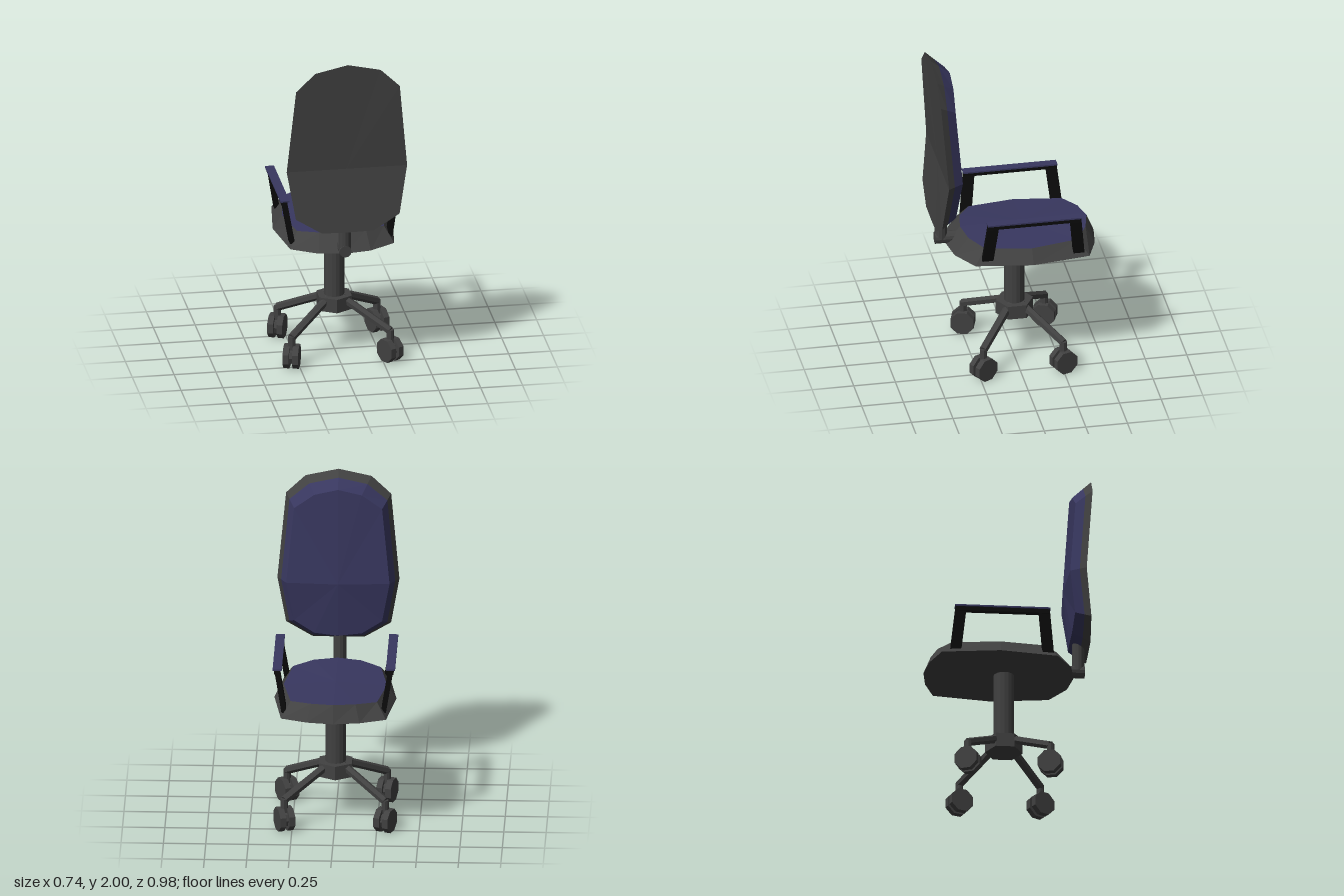
import * as THREE from 'three';

const V = (x, y, z) => new THREE.Vector3(x, y, z);

export function createModel() {
  const chair = new THREE.Group();
  chair.name = 'officeChair';
  const mat = (name, color, opts = {}) => {
    const m = new THREE.MeshStandardMaterial({ color, ...opts });
    m.name = name;
    return m;
  };
  const grey = mat('charcoal plastic', 0x414141, { flatShading: true });
  const blue = mat('indigo fabric', 0x38375f, { flatShading: true });
  const black = mat('black armrest', 0x0b0b0b, { flatShading: true });

  const add = (name, geo, material, parent = chair) => {
    const m = new THREE.Mesh(geo, material);
    m.name = name;
    parent.add(m);
    return m;
  };
  const surface = (points) => {
    const g = new THREE.BufferGeometry().setFromPoints(points);
    g.computeVertexNormals();
    return g;
  };
  // Triangle fan closing a ring
  const fan = (c, ring, flip = false) => surface(ring.flatMap((p, i) => {
    const q = ring[(i + 1) % ring.length];
    return flip ? [c, q, p] : [c, p, q];
  }));
  // Band of quads joining two rings
  const band = (a, b) => surface(a.flatMap((p, i) => {
    const j = (i + 1) % a.length;
    return [p, a[j], b[j], p, b[j], b[i]];
  }));
  // Mirrors a half outline (first and last points on the centre line)
  const mirrored = (half) => [
    ...half,
    ...half.slice(1, -1).reverse().map((p) => V(-p.x, p.y, p.z)),
  ];
  // Straight round bar between two points
  const rod = (name, a, b, r, sides, parent = chair) => {
    const g = new THREE.CylinderGeometry(r, r, a.distanceTo(b), sides);
    const m = add(name, g, grey, parent);
    m.position.copy(a).lerp(b, 0.5);
    m.quaternion.setFromUnitVectors(V(0, 1, 0), b.clone().sub(a).normalize());
    return m;
  };

  // Seat: wide flat base sloping in to a crowned cushion
  const seatBase = mirrored([[0, 0.4], [0.155, 0.375], [0.31, 0.28], [0.36, -0.06],
    [0.31, -0.405], [0.155, -0.465], [0, -0.488]].map(([x, z]) => V(x, 0.765, z)));
  const seatTop = mirrored([[0, 0.315, 0.87], [0.14, 0.29, 0.865], [0.26, 0.215, 0.853], [0.305, -0.06, 0.848],
    [0.255, -0.345, 0.853], [0.13, -0.415, 0.865], [0, -0.445, 0.87]].map(([x, z, y]) => V(x, y, z)));
  add('seatUnderside', fan(V(0, 0.765, -0.05), seatBase, true), grey);
  add('seatRim', band(seatBase, seatTop), grey);
  add('seatCushion', fan(V(0, 0.87, -0.06), seatTop), blue);

  // Backrest: bent shell with a bevelled fabric pad on the sitter's side
  const shell = mirrored([[0, 2, 0.488], [0.195, 1.957, 0.488], [0.31, 1.847, 0.487], [0.36, 1.325, 0.448],
    [0.31, 1.033, 0.48], [0.155, 0.938, 0.488], [0, 0.935, 0.488]].map((p) => V(...p)));
  const pad = mirrored([[0, 1.91, 0.375], [0.14, 1.875, 0.38], [0.26, 1.785, 0.39], [0.305, 1.325, 0.355],
    [0.26, 1.075, 0.388], [0.14, 1.0, 0.38], [0, 0.985, 0.375]].map((p) => V(...p)));
  const seam = shell.map((p, i) => p.clone().lerp(pad[i], 0.42));
  add('backrestShell', fan(V(0, 1.325, 0.448), shell, true), grey);
  add('backrestRim', band(shell, seam), grey);
  add('backrestPadEdge', band(seam, pad), blue);
  add('backrestPad', fan(V(0, 1.325, 0.336), pad), blue);

  // Bent bar carrying the backrest
  rod('backSupportBar', V(-0.01, 0.803, 0.22), V(-0.01, 0.803, 0.465), 0.036, 12);
  rod('backSupportPost', V(-0.01, 0.803, 0.427), V(-0.01, 1.03, 0.427), 0.037, 12);

  // Armrests: two leaning posts, a crossbar and a thin pad
  const leaningPost = (top, bottom) => {
    const h = top.y - bottom.y;
    const g = new THREE.BoxGeometry(0.03, h, 0.066);
    const p = g.attributes.position;
    for (let i = 0; i < p.count; i++) {
      const t = p.getY(i) / h + 0.5;
      p.setXYZ(i, p.getX(i) + bottom.x + (top.x - bottom.x) * t, bottom.y + h * t,
        p.getZ(i) + bottom.z + (top.z - bottom.z) * t);
    }
    g.computeVertexNormals();
    return g;
  };
  for (const s of [1, -1]) {
    const arm = new THREE.Group();
    arm.name = s > 0 ? 'leftArmrest' : 'rightArmrest';
    arm.position.z = -0.01 * s;
    chair.add(arm);
    add('rearPost', leaningPost(V(0.335 * s, 1.04, 0.188), V(0.293 * s, 0.79, 0.215)), black, arm);
    add('frontPost', leaningPost(V(0.335 * s, 1.04, -0.305), V(0.293 * s, 0.79, -0.332)), black, arm);
    add('crossbar', new THREE.BoxGeometry(0.034, 0.026, 0.56), black, arm).position.set(0.335 * s, 1.034, -0.058);
    add('armPad', new THREE.BoxGeometry(0.054, 0.009, 0.565), blue, arm).position.set(0.334 * s, 1.0505, -0.058);
  }

  // Gas column and hexagonal hub
  rod('column', V(0, 0.3, -0.012), V(0, 0.766, -0.012), 0.061, 16);
  rod('hub', V(0, 0.265, -0.012), V(0, 0.35, -0.012), 0.112, 6);

  // Four legs with swivelled twin-wheel casters: [x, z, yaw]
  const casters = [[0.295, 0.23, 0.52], [0.295, -0.25, 0.35], [-0.295, 0.24, -0.3], [-0.3, -0.25, -0.4]];
  for (const [x, z, yaw] of casters) {
    rod('leg', V(x * 0.15, 0.335, z * 0.15 - 0.01), V(x, 0.188, z), 0.025, 6);
    rod('casterStem', V(x, 0.07, z), V(x, 0.195, z), 0.022, 8);
    const caster = new THREE.Group();
    caster.name = 'caster';
    caster.position.set(x, 0.07, z);
    caster.rotation.y = yaw;
    chair.add(caster);
    for (const s of [1, -1]) {
      const wheel = new THREE.CylinderGeometry(0.074, 0.074, 0.036, 8);
      wheel.rotateY(Math.PI / 8);
      wheel.rotateZ(Math.PI / 2);
      add('wheel', wheel, grey, caster).position.x = 0.028 * s;
    }
    rod('axle', V(-0.02, 0, 0), V(0.02, 0, 0), 0.05, 8, caster);
  }
  return chair;
}
